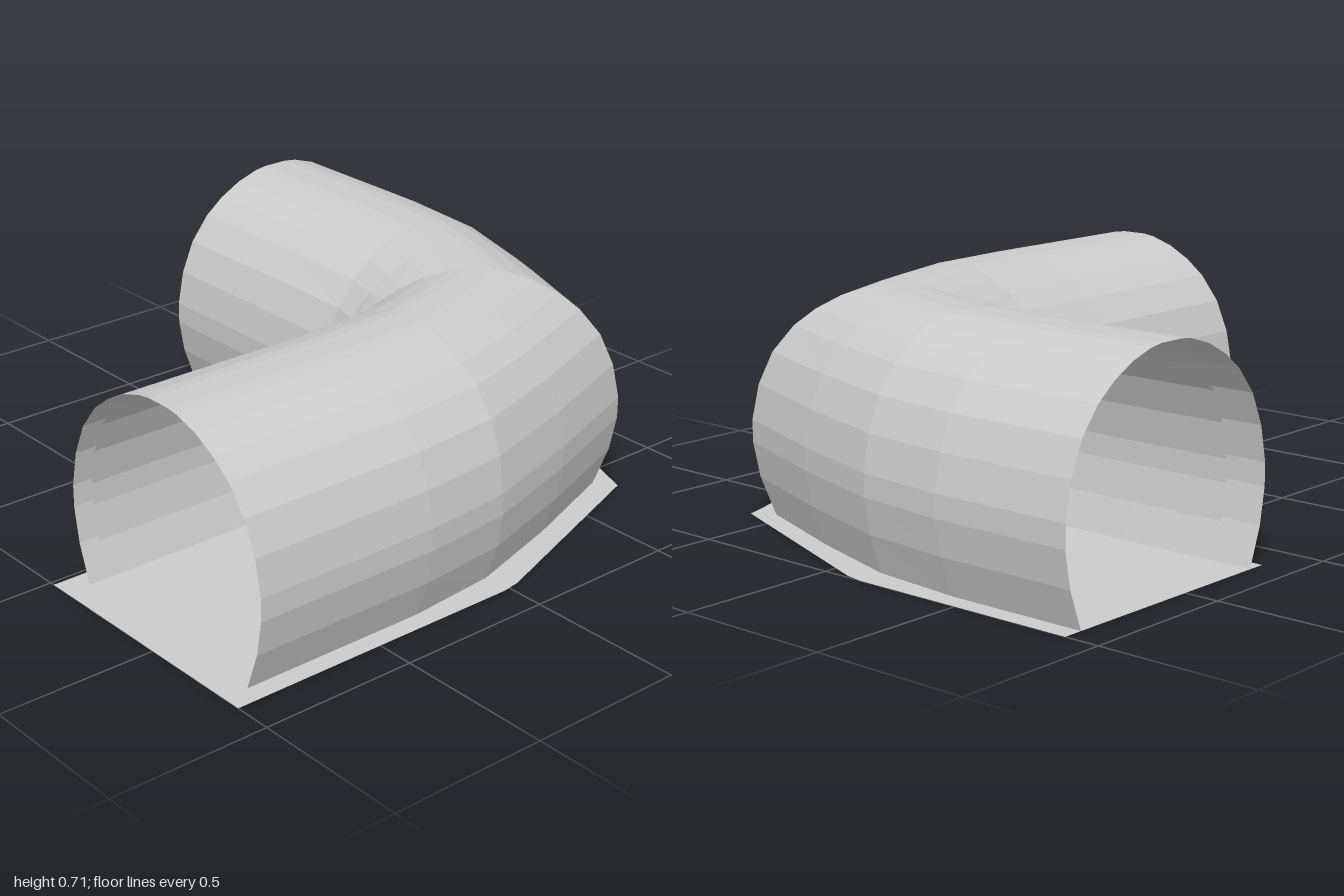
import * as THREE from 'three';

const material = new THREE.MeshStandardMaterial({ color: 0xcccccc, flatShading: true, side: THREE.DoubleSide });

// Half of the arch section, crown to foot: [fraction of half width, height]
const outerHalf = [[0.1, 0.71], [0.2, 0.704], [0.375, 0.68], [0.55, 0.64], [0.7, 0.59], [0.85, 0.51],
  [0.95, 0.41], [1, 0.3], [1, 0.23], [0.955, 0.12], [0.855, 0]];
// The lining sits just inside and stops above the floor
const innerHalf = outerHalf.map(([s, y]) => [s * 0.98, y - 0.01]);
innerHalf[innerHalf.length - 1] = [0.895, 0.06];

const mirror = ([x, z]) => [-z - 0.12, -x - 0.12];

// Stations of the bend, each as plan points [inside of bend, outside of bend]
function stations(startX, endZ) {
  const bend = [
    [[-0.43, -0.14], [-0.43, -1]],
    [[-0.12, -0.135], [-0.13, -0.97]],
    [[-0.05, -0.12], [0.22, -0.865]]
  ];
  return [
    [[startX, -0.14], [startX, -1]],
    ...bend,
    [[-0.02, -0.1], [0.605, -0.725]],
    ...bend.map(s => s.map(mirror)).reverse(),
    [[0.02, endZ], [0.88, endZ]]
  ];
}

// Loft the arch section through the stations
function shell(name, half, startX, endZ) {
  const section = [...half.map(([s, y]) => [-s, y]).reverse(), ...half];
  const rows = stations(startX, endZ);
  const n = section.length;
  const positions = [], indices = [];
  rows.forEach(([a, b], i) => {
    section.forEach(([s, y], j) => {
      const t = (s + 1) / 2;
      positions.push(a[0] + (b[0] - a[0]) * t, y, a[1] + (b[1] - a[1]) * t);
      if (i && j) {
        const d = i * n + j, c = d - 1, q = d - n, p = q - 1;
        indices.push(p, c, q, q, c, d);
      }
    });
  });
  const geometry = new THREE.BufferGeometry();
  geometry.setAttribute('position', new THREE.Float32BufferAttribute(positions, 3));
  geometry.setIndex(indices);
  geometry.computeVertexNormals();
  const mesh = new THREE.Mesh(geometry, material);
  mesh.name = name;
  return mesh;
}

// Thin floor sheet, longer than the tunnel at the front
function floorSheet() {
  const plan = [[-0.89, -1], [-0.14, -1], [-0.08, -0.99], [0.625, -0.725], [0.87, -0.04], [0.88, 0.02],
    [0.88, 1], [0.015, 1], [0.015, 0], [-0.02, -0.1], [-0.12, -0.14], [-0.89, -0.145]];
  const shape = new THREE.Shape(plan.map(([x, z]) => new THREE.Vector2(x, -z)));
  const mesh = new THREE.Mesh(new THREE.ShapeGeometry(shape).rotateX(-Math.PI / 2), material);
  mesh.name = 'floor';
  return mesh;
}

export function createModel() {
  const group = new THREE.Group();
  group.name = 'tunnelBend';
  group.add(
    shell('outerShell', outerHalf, -0.89, 0.92),
    shell('innerLining', innerHalf, -0.76, 0.86),
    floorSheet()
  );
  return group;
}
